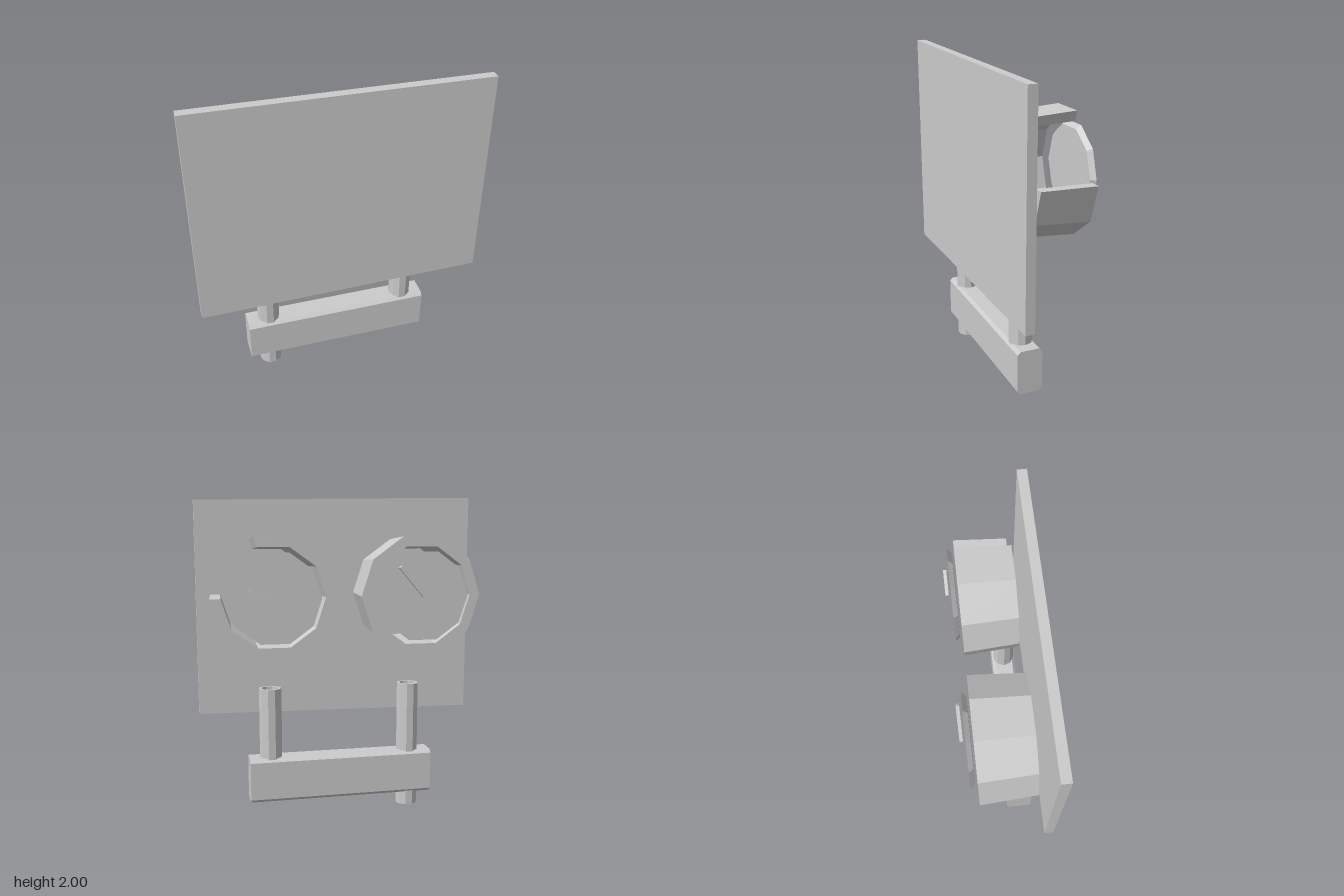
import * as THREE from 'three';

const SIDES = 10;
const STEP = (Math.PI * 2) / SIDES;

function shapeOf(points) {
  return new THREE.Shape(points.map(([x, y]) => new THREE.Vector2(x, y)));
}

// Closed profile (radius, height) turned about y; a corner always lies on the x axis
function turned(points, firstPhi, segments) {
  const profile = [...points, points[0]].map(([r, y]) => new THREE.Vector2(r, y));
  return new THREE.LatheGeometry(profile, segments, firstPhi, segments * STEP);
}

export function createModel() {
  const model = new THREE.Group();
  const grey = new THREE.MeshStandardMaterial({ color: 0xcccccc, flatShading: true, side: THREE.DoubleSide });
  grey.name = 'light grey';

  function add(name, geometry, parent = model) {
    const mesh = new THREE.Mesh(geometry, grey);
    mesh.name = name;
    parent.add(mesh);
    return mesh;
  }

  // Front panel, slightly lower at its left edge
  const panel = shapeOf([[-0.89, 0.612], [0.885, 0.638], [0.885, 1.975], [-0.89, 2]]);
  add('frontPanel', new THREE.ExtrudeGeometry(panel, { depth: 0.057, bevelEnabled: false }))
    .position.z = 0.203;

  // Crossbar with chamfered long edges
  const h = 0.14, w = 0.08, c = 0.02;
  const section = shapeOf([
    [-w + c, -h], [w - c, -h], [w, -h + c], [w, h - c],
    [w - c, h], [-w + c, h], [-w, h - c], [-w, -h + c],
  ]);
  const bar = new THREE.ExtrudeGeometry(section, { depth: 1.18, bevelEnabled: false });
  bar.rotateY(Math.PI / 2);
  add('crossbar', bar).position.set(-0.595, 0.227, 0.09);

  // Hollow posts, only the right one reaching the ground
  for (const [name, x, bottom] of [['rightPost', -0.454, 0], ['leftPost', 0.446, 0.1]]) {
    const top = 0.81;
    const post = turned([[0.071, bottom], [0.071, top], [0.054, top], [0.054, bottom]], Math.PI / 2, SIDES);
    add(name, post).position.set(x, 0, 0.09);
  }

  // Dials: flared ring, floating face and a pointer; the left ring lacks two segments
  const ring = [[0.374, -0.185], [0.352, 0.14], [0.29, 0.14], [0.31, -0.185]];
  const dials = [
    { name: 'rightDial', x: -0.452, missing: 0, angle: 0.86, length: 0.235 },
    { name: 'leftDial', x: 0.449, missing: 2, angle: 0.31, length: 0.155 },
  ];
  for (const { name, x, missing, angle, length } of dials) {
    const dial = new THREE.Group();
    dial.name = name;
    dial.position.set(x, 1.4, 0);
    model.add(dial);

    const wall = turned(ring, Math.PI / 2 + missing * STEP, SIDES - missing);
    wall.rotateX(Math.PI / 2);
    add('dialRing', wall, dial);

    // Cut ends of the open ring
    if (missing) {
      for (const turn of [0, missing * STEP]) {
        const end = new THREE.ShapeGeometry(shapeOf(ring));
        end.rotateX(Math.PI / 2);
        end.rotateZ(turn);
        add('ringEnd', end, dial);
      }
    }

    const face = new THREE.CylinderGeometry(0.28, 0.255, 0.027, SIDES);
    face.rotateY(Math.PI / 2);
    face.rotateX(-Math.PI / 2);
    add('dialFace', face, dial).position.z = -0.213;

    const pointer = new THREE.BoxGeometry(length, 0.024, 0.02);
    pointer.translate(length / 2, 0, 0);
    pointer.rotateZ(angle);
    add('pointer', pointer, dial).position.z = -0.252;
  }

  return model;
}
